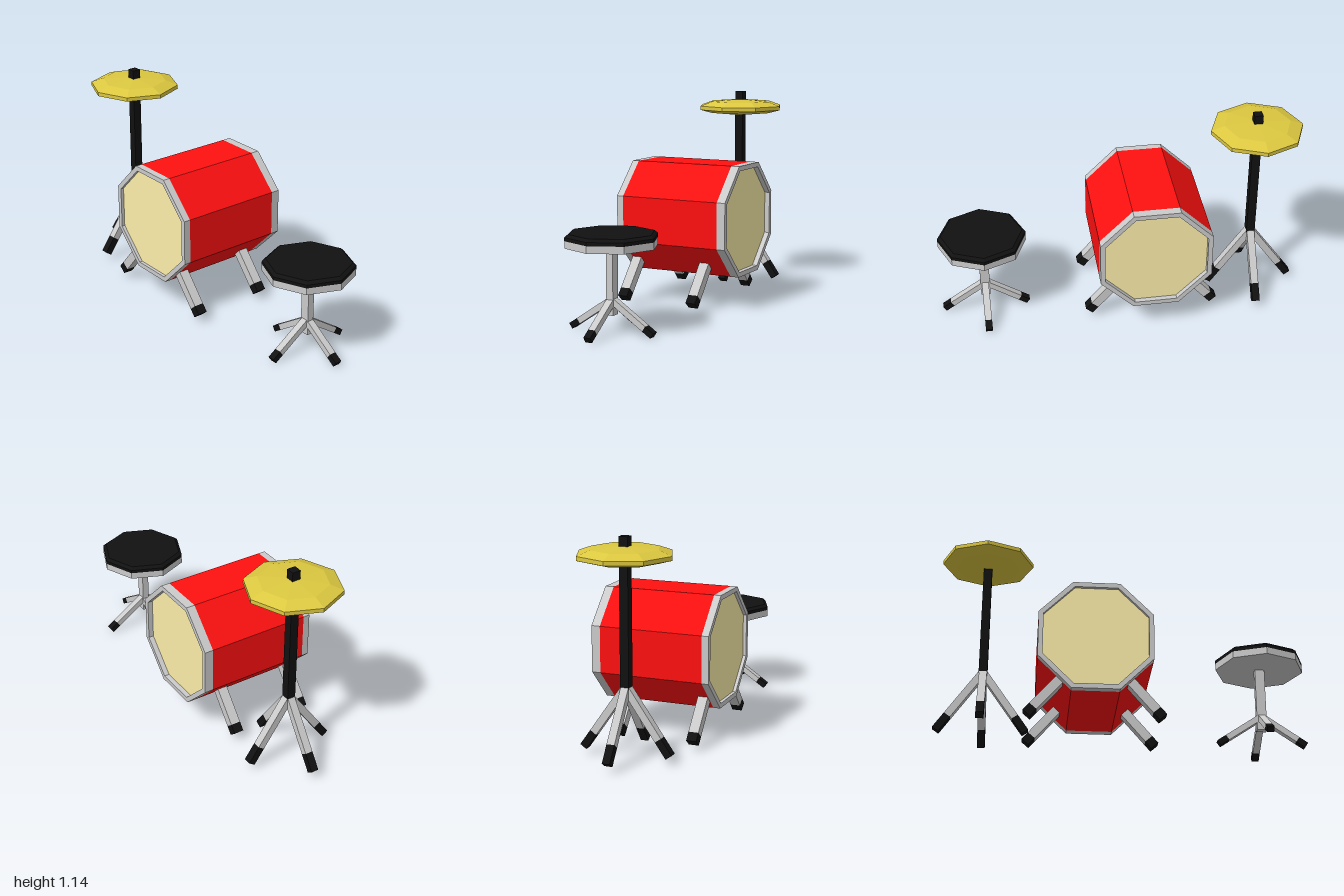
import * as THREE from 'three';

const mat = (color) => new THREE.MeshStandardMaterial({ color, flatShading: true, side: THREE.DoubleSide });
const grey = mat(0xcccccc), black = mat(0x111111), red = mat(0xff1010);
const skin = mat(0xfdeeaa), brass = mat(0xdcc840);

function add(parent, name, geometry, material, x = 0, y = 0, z = 0) {
  const mesh = new THREE.Mesh(geometry, material);
  mesh.name = name;
  mesh.position.set(x, y, z);
  parent.add(mesh);
  return mesh;
}

// Square bar leaning from (0, top) out to (reach, bottom) along +x, with a rubber tip
function makeLeg(reach, top, bottom, thick, wide, tipLength) {
  const leg = new THREE.Group();
  leg.name = 'leg';
  const length = Math.hypot(reach, top - bottom);
  const bar = new THREE.Group();
  bar.position.y = top;
  bar.rotation.z = Math.atan2(reach, top - bottom);
  add(bar, 'legBar', new THREE.BoxGeometry(thick, length - tipLength, wide), grey, 0, -(length - tipLength) / 2, 0);
  add(bar, 'rubberTip', new THREE.BoxGeometry(thick, tipLength, wide), black, 0, -length + tipLength / 2, 0);
  leg.add(bar);
  return leg;
}

// Four legs spread along the x and z axes
function addFourLegs(parent, ...spec) {
  for (let i = 0; i < 4; i++) {
    const leg = makeLeg(...spec);
    leg.rotation.y = i * Math.PI / 2;
    parent.add(leg);
  }
}

// Eight-sided turned solid with its corners on the axes
function octLathe(points) {
  return new THREE.LatheGeometry(points.map(([r, y]) => new THREE.Vector2(r, y)), 8);
}

// Octagon with flat top, bottom and sides
function octagon(apothem, PathType = THREE.Shape) {
  const r = apothem / Math.cos(Math.PI / 8);
  const points = [];
  for (let i = 0; i < 8; i++) {
    const a = (i + 0.5) * Math.PI / 4;
    points.push(new THREE.Vector2(r * Math.cos(a), r * Math.sin(a)));
  }
  return new PathType(points);
}

function makeDrum() {
  const drum = new THREE.Group();
  drum.name = 'bassDrum';
  const prism = (shape, depth) => new THREE.ExtrudeGeometry(shape, { depth, bevelEnabled: false });
  add(drum, 'shell', prism(octagon(0.303), 0.57), red, 0, 0.477, -0.28);

  // Hoops with the heads set slightly inside them
  const hoop = octagon(0.303);
  hoop.holes.push(octagon(0.277, THREE.Path));
  add(drum, 'frontHoop', prism(hoop, 0.038), grey, 0, 0.477, 0.29);
  add(drum, 'backHoop', prism(hoop, 0.048), grey, 0, 0.477, -0.328);
  add(drum, 'frontHead', prism(octagon(0.277), 0.02), skin, 0, 0.477, 0.29);
  add(drum, 'backHead', prism(octagon(0.277), 0.02), skin, 0, 0.477, -0.3);

  // Two pairs of splayed legs
  for (const z of [0.26, -0.157]) {
    for (const side of [1, -1]) {
      const holder = new THREE.Group();
      holder.name = side > 0 ? 'leftLeg' : 'rightLeg';
      const leg = makeLeg(0.19, 0.265, 0.045, 0.05, 0.055, 0.05);
      leg.position.x = 0.16;
      holder.add(leg);
      holder.rotation.y = side > 0 ? 0 : Math.PI;
      holder.position.z = z;
      drum.add(holder);
    }
  }
  drum.position.x = -0.163;
  return drum;
}

function makeCymbal() {
  const stand = new THREE.Group();
  stand.name = 'cymbalStand';
  add(stand, 'post', new THREE.BoxGeometry(0.047, 0.77, 0.047), black, 0, 0.755, 0);
  add(stand, 'cymbal', octLathe([[0, 1.0], [0.18, 1.015], [0.25, 1.034], [0.25, 1.056], [0.18, 1.081], [0, 1.093]]), brass);
  addFourLegs(stand, 0.235, 0.38, 0.045, 0.04, 0.042, 0.1);
  stand.position.x = -0.75;
  return stand;
}

function makeStool() {
  const stool = new THREE.Group();
  stool.name = 'stool';
  add(stool, 'seatBase', octLathe([[0, 0.445], [0.24, 0.445], [0.24, 0.482], [0, 0.482]]), grey);
  add(stool, 'cushion', octLathe([[0, 0.482], [0.24, 0.482], [0.24, 0.5], [0.222, 0.515], [0, 0.515]]), black);
  add(stool, 'post', new THREE.BoxGeometry(0.052, 0.35, 0.038), grey, 0, 0.272, 0);
  addFourLegs(stool, 0.235, 0.175, 0.017, 0.032, 0.038, 0.055);
  stool.position.x = 0.75;
  return stool;
}

export function createModel() {
  const model = new THREE.Group();
  model.name = 'drumSet';
  model.add(makeDrum(), makeCymbal(), makeStool());
  return model;
}
